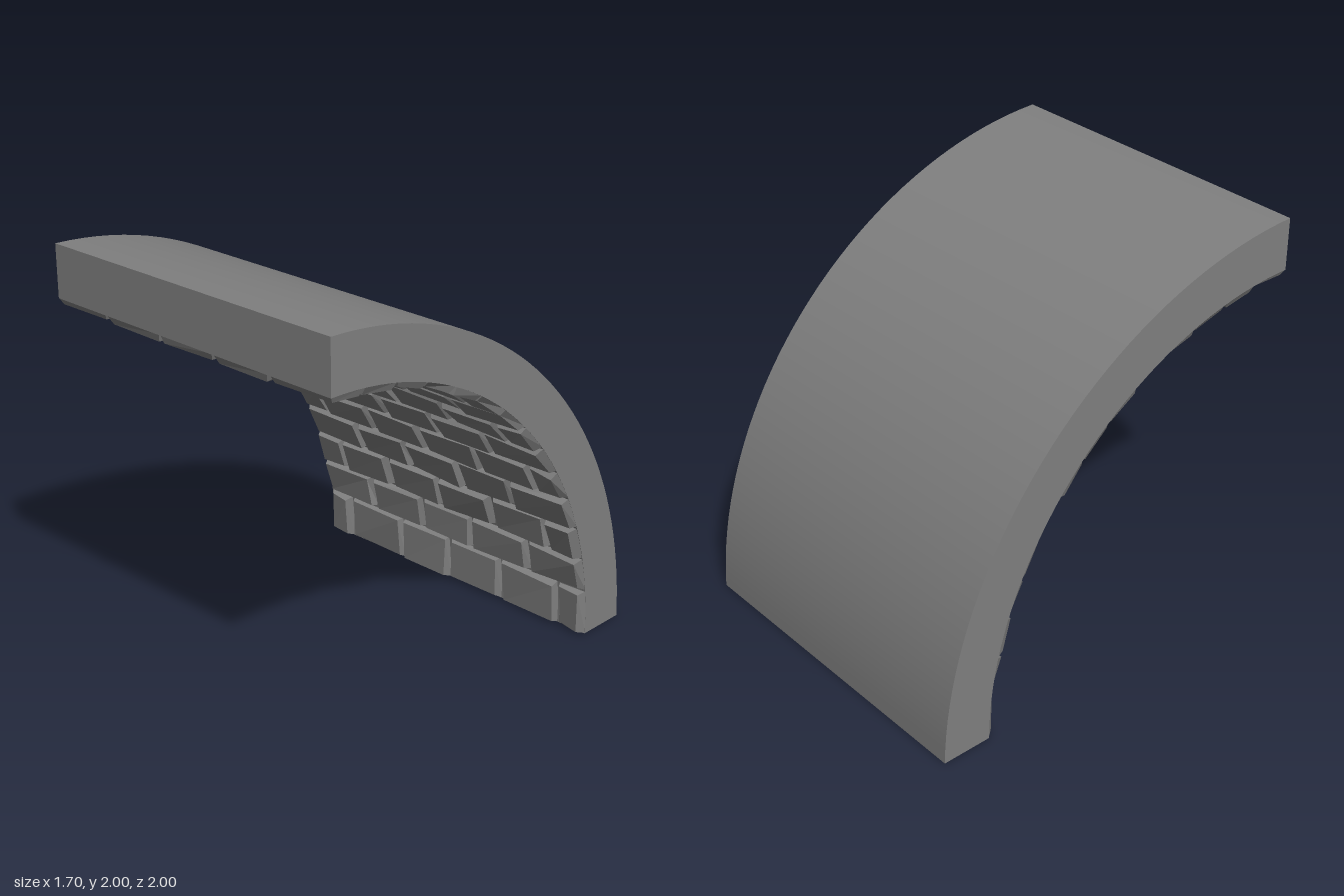
import * as THREE from 'three';
import { mergeGeometries, toCreasedNormals } from 'three/addons/utils/BufferGeometryUtils.js';

const HALF_W = 0.85;      // half width of the vault
const MORTAR_R = 1.745;   // radius of the recessed mortar surface
const FACE_R = 1.714;     // radius of the brick faces
const COURSES = 14;

// Small seeded noise in -1..1
let seed = 7;
function jitter(amount) {
  seed = (seed * 16807) % 2147483647;
  return (seed / 2147483647 * 2 - 1) * amount;
}

// Point on the inner curve: a is the angle up from the floor
function onCurve(x, a, r) {
  return [x, r * Math.sin(a), 1 - r * Math.cos(a)];
}

// Curved slab with smooth back and flat ends
function makeSlab() {
  const pts = [];
  const n = 40, d = 0.055, R = Math.hypot(d, 2 + d), t0 = Math.atan2(d, 2 + d);
  for (let i = 0; i <= n; i++) {
    const t = t0 + (Math.PI / 2 - 2 * t0) * i / n;
    pts.push(new THREE.Vector2(1 + d - R * Math.sin(t), -d + R * Math.cos(t)));
  }
  for (let i = 0; i <= n; i++) {
    const [, y, z] = onCurve(0, Math.PI / 2 * i / n, MORTAR_R);
    pts.push(new THREE.Vector2(z, y));
  }
  const geo = new THREE.ExtrudeGeometry(new THREE.Shape(pts), { depth: HALF_W * 2, bevelEnabled: false });
  geo.rotateY(-Math.PI / 2);
  geo.translate(HALF_W, 0, 0);
  return toCreasedNormals(geo, 0.5);
}

// Rough brick: a wide foot in the mortar tapering to an uneven face
function makeBrick(x0, x1, a0, a1) {
  const corners = [[x0, a0, 1, 1], [x1, a0, -1, 1], [x1, a1, -1, -1], [x0, a1, 1, -1]];
  const pos = [];
  for (const [x, a, sx, sa] of corners) {
    const edgeX = Math.abs(x) >= HALF_W - 0.001;
    const edgeA = a < 0.001 || a > Math.PI / 2 - 0.001;
    const fx = edgeX ? x : x + sx * (0.005 + jitter(0.004));
    const fa = edgeA ? a : a + sa * (0.003 + jitter(0.002));
    pos.push(...onCurve(fx, fa, MORTAR_R + 0.004));
  }
  for (const [x, a, sx, sa] of corners) {
    pos.push(...onCurve(x + sx * (0.022 + jitter(0.009)), a + sa * (0.009 + jitter(0.004)), FACE_R + jitter(0.009)));
  }
  const index = [4, 5, 6, 4, 6, 7];
  for (let i = 0; i < 4; i++) {
    const j = (i + 1) % 4;
    index.push(i, j, j + 4, i, j + 4, i + 4);
  }
  const geo = new THREE.BufferGeometry();
  geo.setAttribute('position', new THREE.Float32BufferAttribute(pos, 3));
  geo.setIndex(index);
  const flat = geo.toNonIndexed();
  flat.computeVertexNormals();
  return flat;
}

export function createModel() {
  const model = new THREE.Group();
  model.name = 'brickVault';
  const stone = new THREE.MeshStandardMaterial({ color: 0x808080 });
  stone.name = 'grey stone';

  const slab = new THREE.Mesh(makeSlab(), stone);
  slab.name = 'vaultSlab';
  model.add(slab);

  // Courses of running bond: even ones start and end with half bricks
  const brickW = HALF_W * 2 / 5;
  const first = THREE.MathUtils.degToRad(7.8);
  const step = (Math.PI / 2 - first) / (COURSES - 1);
  for (let row = 0; row < COURSES; row++) {
    const a0 = row === 0 ? 0 : first + (row - 1) * step;
    const a1 = first + row * step;
    const joints = [-HALF_W];
    const offset = row % 2 === 0 ? brickW / 2 : brickW;
    for (let x = -HALF_W + offset; x < HALF_W - 0.05; x += brickW) joints.push(x + jitter(0.015));
    joints.push(HALF_W);
    const bricks = [];
    for (let i = 0; i < joints.length - 1; i++) bricks.push(makeBrick(joints[i], joints[i + 1], a0, a1));
    const course = new THREE.Mesh(mergeGeometries(bricks), stone);
    course.name = 'brickCourse' + (row + 1);
    model.add(course);
  }
  return model;
}
